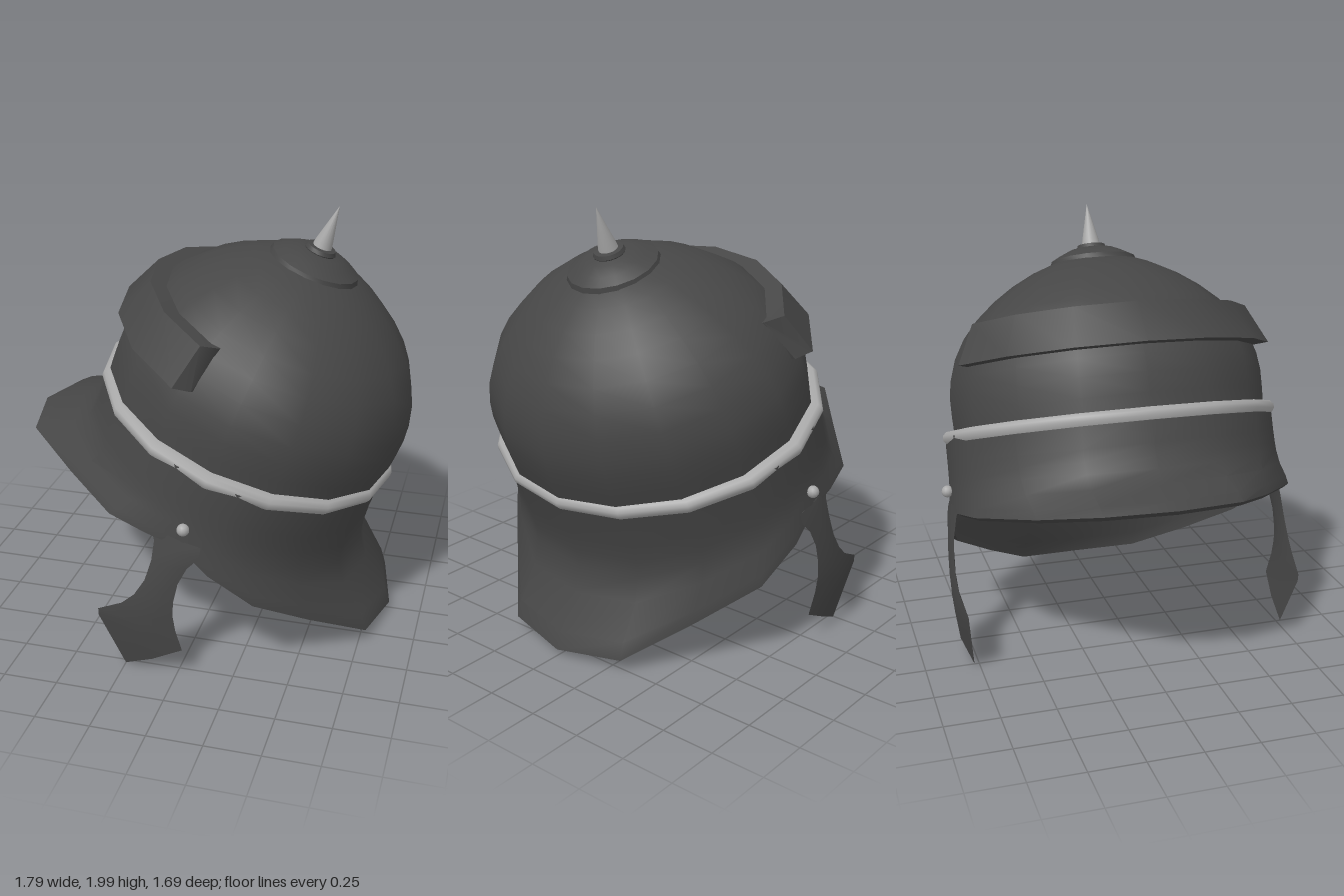
import * as THREE from 'three';
import { toCreasedNormals } from 'three/addons/utils/BufferGeometryUtils.js';

const V = (x, y, z) => new THREE.Vector3(x, y, z);
const SEG = 16;

// Surface through rows of points; each row is a closed ring if wrap is true
function loft(rows, wrap, caps = false) {
  const n = rows[0].length, pos = [], idx = [];
  rows.forEach(r => r.forEach(p => pos.push(p.x, p.y, p.z)));
  for (let i = 0; i < rows.length - 1; i++) {
    for (let j = 0; j < (wrap ? n : n - 1); j++) {
      const k = (j + 1) % n, a = i * n, b = a + n;
      idx.push(a + j, b + j, a + k, a + k, b + j, b + k);
    }
  }
  if (caps) {
    const e = (rows.length - 1) * n;
    for (let j = 1; j < n - 1; j++) idx.push(0, j, j + 1, e, e + j + 1, e + j);
  }
  const g = new THREE.BufferGeometry();
  g.setAttribute('position', new THREE.Float32BufferAttribute(pos, 3));
  g.setIndex(idx);
  g.computeVertexNormals();
  return toCreasedNormals(g, 0.75);
}

const lathe = (pts, crease = 0.6) => toCreasedNormals(
  new THREE.LatheGeometry(pts.map(p => new THREE.Vector2(p[0], p[1])), SEG), crease);

export function createModel() {
  const root = new THREE.Group();
  root.name = 'helmet';
  const iron = new THREE.MeshStandardMaterial({ color: 0x464646, side: THREE.DoubleSide });
  iron.name = 'dark iron';
  const steel = new THREE.MeshStandardMaterial({ color: 0xa8a8a8, side: THREE.DoubleSide });
  steel.name = 'light steel';
  const add = (parent, name, geo, mat) => {
    const m = new THREE.Mesh(geo, mat);
    m.name = name;
    parent.add(m);
    return m;
  };

  // Bowl parts share one frame, leaning back about the middle of the band
  const bowl = new THREE.Group();
  bowl.name = 'bowl';
  bowl.position.set(0.145, 1.0, 0);
  bowl.rotation.z = -0.366;
  root.add(bowl);

  add(bowl, 'dome', lathe([[0.7, -0.02], [0.705, 0.09], [0.706, 0.18], [0.696, 0.26], [0.668, 0.36],
    [0.62, 0.455], [0.555, 0.54], [0.47, 0.622], [0.38, 0.69], [0.28, 0.748], [0.18, 0.79], [0, 0.82]], 1),
  iron).scale.z = 1.08;

  add(bowl, 'band', lathe([[0.66, -0.032], [0.712, -0.032], [0.724, -0.012], [0.722, 0.008],
    [0.708, 0.025], [0.66, 0.03]], 0.9), steel).scale.z = 1.125;

  // Top disc, collar and spike
  add(bowl, 'topDisc', lathe([[0.205, 0.755], [0.213, 0.775], [0.205, 0.8], [0.16, 0.825], [0.11, 0.848], [0, 0.856]]), iron);
  add(bowl, 'spikeCollar', lathe([[0.066, 0.84], [0.073, 0.855], [0.066, 0.872], [0, 0.878]]), iron);
  add(bowl, 'spike', lathe([[0.046, 0.86], [0.04, 0.9], [0, 1.075]]), steel);

  // Brow plate: wedge section swept round the front, ends sloping into the dome
  const browRows = [-72, -67.5, -45, -22.5, 0, 22.5, 45, 67.5, 72].map(deg => {
    const a = deg * Math.PI / 180, end = Math.abs(deg) > 70;
    const section = [[0.64, 0.3], [end ? 0.69 : 0.754, 0.305], [end ? 0.59 : 0.667, 0.493], [0.54, 0.49]];
    return section.map(([r, v]) => V(-r * Math.cos(a), v, r * Math.sin(a) * 1.08));
  });
  add(bowl, 'browPlate', loft(browRows, true, true), iron);

  // Skirt: peak, sides and neck guard. Each entry: angle, edge u, edge height, edge z
  const half = [
    [0, -0.951, -0.43, 0], [22.5, -0.882, -0.424, 0.31], [45, -0.607, -0.413, 0.535],
    [67.5, -0.341, -0.382, 0.755], [78, -0.157, -0.36, 0.8], [90, 0, -0.345, 0.812],
    [102, 0.166, -0.418, 0.81], [112.5, 0.397, -0.49, 0.76], [135, 0.652, -0.57, 0.55],
    [157.5, 0.926, -0.641, 0.32], [180, 1.0, -0.644, 0]];
  const cols = [...half, ...half.slice(1, -1).reverse().map(([a, u, v, z]) => [-a, u, v, -z])];
  const flare = [[0, 0], [0.31, 0.01], [0.45, 0.04], [0.57, 0.1], [0.73, 0.33], [0.9, 0.83], [1, 1]];
  const skirtRow = (f, w, inset) => cols.map(([deg, u, v, z]) => {
    const a = deg * Math.PI / 180, c = Math.cos(a), s = Math.sin(a);
    const top = V(-0.695 * c, 0, 0.8 * s);
    return V(THREE.MathUtils.lerp(top.x, u, w) + inset * c, v * f - inset * 0.6 * w,
      THREE.MathUtils.lerp(top.z, z, w) - inset * s);
  });
  add(bowl, 'skirt', loft([
    ...flare.map(([f, w]) => skirtRow(f, w, 0)),
    ...flare.slice().reverse().map(([f, w]) => skirtRow(f, w, 0.025))], true), iron);

  // Cheek guards: front edge and back edge point of each row
  const guard = [
    [-0.11, 0.75, 0.12, 0.68], [-0.09, 0.69, 0.11, 0.63], [-0.1, 0.6, 0.06, 0.58],
    [-0.13, 0.5, 0.02, 0.5], [-0.18, 0.42, 0, 0.41], [-0.24, 0.365, -0.005, 0.34],
    [-0.36, 0.305, 0.005, 0.26], [-0.36, 0.27, 0.03, 0.15], [-0.25, 0.01, 0.03, 0.15]];
  const bow = (x, y) => 0.84 - 0.35 * (y - 0.4) ** 2 - 0.3 * Math.max(0, -x - 0.1) ** 2;
  for (const side of [1, -1]) {
    const label = side > 0 ? 'left' : 'right';
    const rows = guard.map(([x1, y1, x2, y2]) => {
      const xm = (x1 + x2) / 2, ym = (y1 + y2) / 2, zm = bow(xm, ym);
      const ring = [V(x1, y1, bow(x1, y1) - 0.008), V(xm, ym, zm + 0.006),
        V(x2, y2, bow(x2, y2) - 0.008), V(xm, ym, zm - 0.022)];
      ring.forEach(p => { p.z *= side; });
      return side > 0 ? ring : ring.reverse();
    });
    add(root, label + 'CheekGuard', loft(rows, true, true), iron);
    add(root, label + 'Rivet', new THREE.SphereGeometry(0.028, 12, 8), steel)
      .position.set(0.045, 0.768, side * 0.818);
  }
  return root;
}
